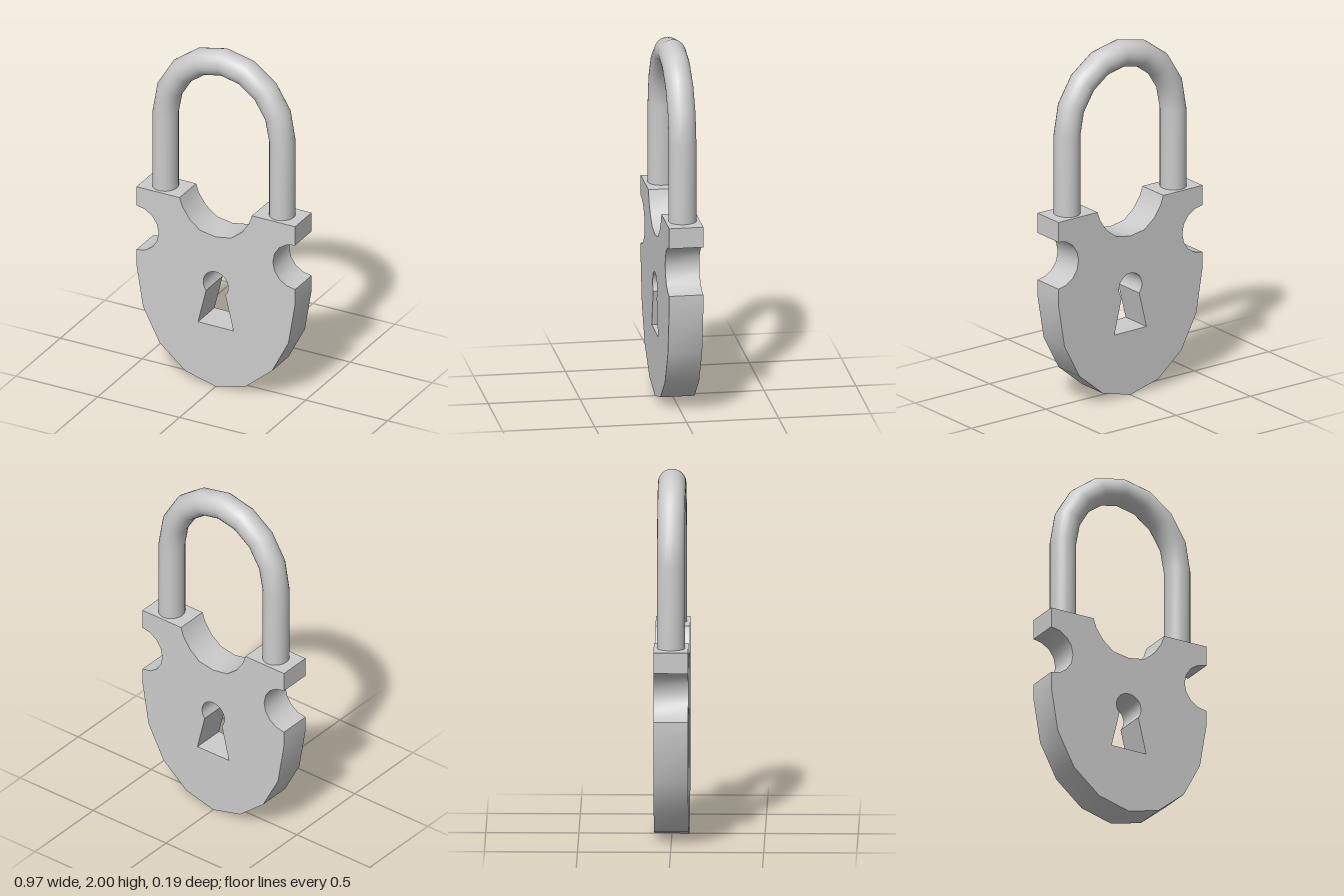
import * as THREE from 'three';
import { toCreasedNormals } from 'three/addons/utils/BufferGeometryUtils.js';

const DEPTH = 0.186;

// Flat plate with scooped top and sides, pointed base and a keyhole
function bodyGeometry() {
  const half = [[0.185, 0.048], [0.343, 0.18], [0.444, 0.373], [0.485, 0.62]];
  for (let i = 0; i <= 8; i++) { // side scoop
    const a = -Math.PI / 2 - (i / 8) * Math.PI;
    half.push([0.485 + 0.136 * Math.cos(a), 0.843 + 0.134 * Math.sin(a)]);
  }
  half.push([0.485, 1.09], [0.221, 1.09]);
  half.push([0.204, 1.04], [0.16, 0.975], [0.095, 0.923]); // top scoop
  const mirrored = half.map(([x, y]) => [-x, y]).reverse();
  const outline = [[0, 0], ...half, [0, 0.907], ...mirrored];
  const shape = new THREE.Shape(outline.map(([x, y]) => new THREE.Vector2(x, y)));

  // Keyhole: round head over a flared slot
  const hole = [new THREE.Vector2(-0.108, 0.366), new THREE.Vector2(0.108, 0.364)];
  const start = -0.7, sweep = Math.PI + 1.4;
  for (let i = 0; i <= 16; i++) {
    const a = start + (i / 16) * sweep;
    hole.push(new THREE.Vector2(0.077 * Math.cos(a), 0.618 + 0.077 * Math.sin(a)));
  }
  shape.holes.push(new THREE.Path(hole));

  const geo = new THREE.ExtrudeGeometry(shape, { depth: DEPTH, bevelEnabled: false });
  geo.translate(0, 0, -DEPTH / 2);
  return toCreasedNormals(geo, 0.6);
}

// Round bar swept up one leg, over an eight-segment arch and down the other
function shackleGeometry() {
  const sides = 24, base = 1.535;
  const rings = [{ x: 0.357, y: 1.06, t: 0 }];
  for (let i = 0; i <= 8; i++) {
    const t = (i / 8) * Math.PI;
    rings.push({ x: 0.357 * Math.cos(t), y: base + 0.39 * Math.sin(t), t });
  }
  rings.push({ x: -0.357, y: 1.06, t: Math.PI });

  const pos = [], index = [];
  rings.forEach(({ x, y, t }, r) => {
    const radius = 0.07 + 0.005 * Math.sin(t);
    for (let s = 0; s < sides; s++) {
      const a = (s / sides) * Math.PI * 2;
      const d = radius * Math.cos(a);
      pos.push(x + d * Math.cos(t), y + d * Math.sin(t), 0.075 * Math.sin(a));
      if (r === rings.length - 1) continue;
      const p = r * sides + s, q = r * sides + (s + 1) % sides;
      index.push(p, p + sides, q, q, p + sides, q + sides);
    }
  });
  const geo = new THREE.BufferGeometry();
  geo.setAttribute('position', new THREE.Float32BufferAttribute(pos, 3));
  geo.setIndex(index);
  geo.computeVertexNormals();
  return geo;
}

export function createModel() {
  const material = new THREE.MeshStandardMaterial({ color: 0xcccccc });
  const group = new THREE.Group();
  group.name = 'padlock';
  const add = (name, geometry) => {
    const mesh = new THREE.Mesh(geometry, material);
    mesh.name = name;
    group.add(mesh);
  };
  add('lockBody', bodyGeometry());
  add('shackle', shackleGeometry());
  return group;
}
